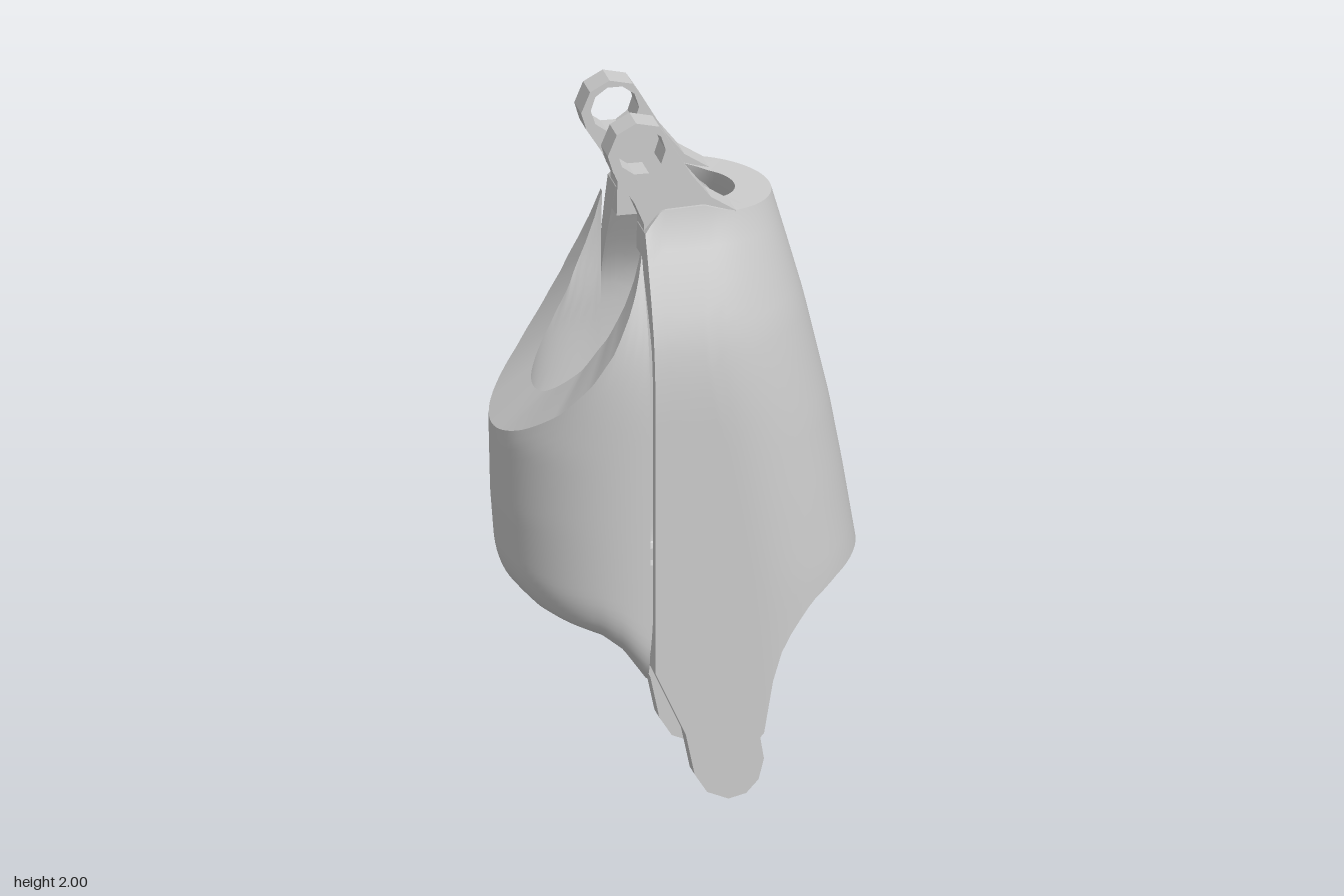
import * as THREE from 'three';

const material = new THREE.MeshStandardMaterial({ color: 0xcccccc, side: THREE.DoubleSide });

// Piecewise linear lookup through [key, value] pairs
function lookup(points, k) {
  if (k <= points[0][0]) return points[0][1];
  for (let i = 1; i < points.length; i++) {
    const [k0, v0] = points[i - 1], [k1, v1] = points[i];
    if (k <= k1) return v0 + (v1 - v0) * (k - k0) / (k1 - k0);
  }
  return points[points.length - 1][1];
}

// Grid surface from fn(u, v), both 0..1
function surface(fn, nu, nv) {
  const pos = [], index = [];
  for (let j = 0; j <= nv; j++)
    for (let i = 0; i <= nu; i++) pos.push(...fn(i / nu, j / nv));
  for (let j = 0; j < nv; j++)
    for (let i = 0; i < nu; i++) {
      const a = j * (nu + 1) + i, b = a + nu + 1;
      index.push(a, b, a + 1, a + 1, b, b + 1);
    }
  const g = new THREE.BufferGeometry();
  g.setAttribute('position', new THREE.Float32BufferAttribute(pos, 3));
  g.setIndex(index);
  g.computeVertexNormals();
  return g;
}

function add(group, name, geometry) {
  const mesh = new THREE.Mesh(geometry, material);
  mesh.name = name;
  group.add(mesh);
  return mesh;
}

// Outline in x/y extruded from z0 to z1
function plate(points, z0, z1, hole) {
  const shape = new THREE.Shape(points.map(p => new THREE.Vector2(...p)));
  if (hole) {
    const path = new THREE.Path();
    path.absarc(hole[0], hole[1], hole[2], 0, Math.PI * 2, true);
    shape.holes.push(path);
  }
  const g = new THREE.ExtrudeGeometry(shape, { depth: z1 - z0, bevelEnabled: false, curveSegments: 5 });
  return g.translate(0, 0, z0);
}

// Half width of both shells by height
const width = [[1.2, 0.355], [1.3, 0.35], [1.4, 0.337], [1.5, 0.305], [1.6, 0.265], [1.7, 0.22], [1.8, 0.205]];

// Front shell curves: foremost x and wall by height, upper and lower edge by x
const frontX = [[0.3, 0.53], [0.67, 0.505], [0.9, 0.467], [1.1, 0.43], [1.4, 0.36], [1.55, 0.318], [1.71, 0.272]];
const frontWall = [[0.19, 0.16], [0.3, 0.13], [0.42, 0.08], [0.55, 0.035], [1.35, 0.03], [1.55, 0.075], [1.7, 0.1]];
const frontTop = [[-0.13, 1.68], [-0.08, 1.74], [0.04, 1.745], [0.12, 1.72], [0.28, 1.71]];
const frontBottom = [[-0.13, 0.43], [-0.09, 0.36], [-0.01, 0.225], [0.04, 0.19], [0.09, 0.18], [0.14, 0.19],
  [0.175, 0.23], [0.195, 0.36], [0.22, 0.45], [0.26, 0.52], [0.32, 0.59], [0.4, 0.635], [0.5, 0.67]];

// Back shell curves
const backX = [[0.6, -0.485], [0.72, -0.495], [0.85, -0.505], [1.07, -0.51], [1.3, -0.47], [1.63, -0.36]];
const backWall = [[0.6, 0.06], [1.0, 0.1], [1.35, 0.1], [1.5, 0.06], [1.62, 0.02]];
const backTop = [[-0.51, 1.07], [-0.46, 1.11], [-0.38, 1.18], [-0.3, 1.275], [-0.24, 1.37], [-0.19, 1.48],
  [-0.165, 1.55], [-0.145, 1.63]];
const backBottom = [[-0.48, 0.6], [-0.44, 0.575], [-0.38, 0.555], [-0.28, 0.53], [-0.22, 0.49], [-0.145, 0.4]];

// U-shaped section: straight flanks and a round front
function frontSection(u, y, inner) {
  const w = lookup(width, y), r = w - (inner ? lookup(frontWall, y) : 0);
  const c = lookup(frontX, y) - w, side = u * 2 - 1, s = 1 - Math.abs(side);
  if (s < 0.4) return [-0.13 + (c + 0.13) * s / 0.4, r * Math.sign(side)];
  const a = (s - 0.4) / 0.6 * Math.PI / 2;
  return [c + r * Math.sin(a), r * Math.cos(a) * Math.sign(side)];
}

// Half-ellipse section
function backSection(u, y, inner) {
  const t = inner ? lookup(backWall, y) : 0, side = 1 - u * 2;
  const a = Math.pow(1 - Math.abs(side), 1.2) * Math.PI / 2;
  return [-0.145 + (lookup(backX, y) + 0.145 + t) * Math.sin(a),
    (lookup(width, y) - t) * Math.cos(a) * Math.sign(side)];
}

// Point on a shell, its height running between the two edge curves
function shellPoint(section, top, bottom, rounded) {
  return (u, v, inner) => {
    const edge = curve => {
      let y = 1;
      for (let i = 0; i < 30; i++) y = (y + lookup(curve, section(u, y, inner)[0])) / 2;
      return y;
    };
    const y0 = edge(bottom), y1 = edge(top), y = y0 + (y1 - y0) * (rounded ? Math.pow(v, 1.6) : v);
    let [x, z] = section(u, y, inner);
    if (rounded) {
      const e = 1 - Math.min((y - y0) / 0.12, 1), k = 1 - 0.15 * (1 - Math.sqrt(1 - e * e));
      x = -0.145 + (x + 0.145) * k;
      z *= k;
    }
    return [x, y, z];
  };
}

// Outer skin, inner skin and the four rims between them
function shell(name, point) {
  const group = new THREE.Group();
  group.name = name;
  const blend = (u, v, t) => {
    const a = point(u, v, false), b = point(u, v, true);
    return a.map((n, i) => n + (b[i] - n) * t);
  };
  add(group, 'outerSkin', surface((u, v) => point(u, v, false), 60, 28));
  add(group, 'innerSkin', surface((u, v) => point(1 - u, v, true), 60, 28));
  for (const e of [0, 1]) {
    add(group, e ? 'topRim' : 'bottomRim', surface((u, t) => blend(e ? u : 1 - u, e, t), 60, 1));
    add(group, 'sideRim', surface((t, v) => blend(e, v, e ? t : 1 - t), 1, 28));
  }
  return group;
}

export function createModel() {
  const model = new THREE.Group();

  model.add(shell('frontShell', shellPoint(frontSection, frontTop, frontBottom, false)));

  // Back shell with a closed underside
  const backPoint = shellPoint(backSection, backTop, backBottom, true);
  const back = shell('backShell', backPoint);
  add(back, 'underside', surface((u, q) => {
    const [x, y, z] = backPoint(u / 2, 0, false);
    return [x, y, z * (1 - 2 * q)];
  }, 30, 4));
  model.add(back);

  // Fork arms, hinge lugs and pins on both sides
  const arm = [[-0.13, 1.6], [-0.128, 1.7], [-0.155, 1.765], [-0.215, 1.86], [-0.23, 1.91], [-0.205, 1.97],
    [-0.15, 2], [-0.085, 1.985], [-0.05, 1.93], [0.005, 1.835], [0.06, 1.765], [0.13, 1.72], [0.13, 1.6]].reverse();
  const lug = [[-0.1, 0.5], [-0.125, 0.43], [-0.02, 0.2], [0.005, 0.08], [0.04, 0.025], [0.1, 0],
    [0.15, 0.012], [0.185, 0.05], [0.2, 0.11], [0.185, 0.2], [0.19, 0.5]];
  for (const side of [1, -1]) {
    const half = new THREE.Group();
    half.name = side > 0 ? 'frontFacingHinge' : 'rearFacingHinge';
    add(half, 'upperForkArm', plate(arm, 0.12, 0.205, [-0.135, 1.915, 0.068]));
    add(half, 'lowerLug', plate(lug, 0.185, 0.245));
    const nut = add(half, 'pinNut', new THREE.CylinderGeometry(0.05, 0.05, 0.04, 6).toNonIndexed());
    nut.geometry.computeVertexNormals();
    nut.rotation.x = Math.PI / 2;
    nut.position.set(0.1, 0.1, 0.165);
    const pin = add(half, 'pin', new THREE.CylinderGeometry(0.024, 0.024, 0.09, 10));
    pin.rotation.x = Math.PI / 2;
    pin.position.set(0.1, 0.1, 0.14);
    const rib = add(half, 'innerRib', new THREE.BoxGeometry(0.2, 0.16, 0.04));
    rib.position.set(0, 0.56, 0.06);
    if (side < 0) half.scale.z = -1;
    model.add(half);
  }

  // Arched bridge joining the lugs inside
  const bridge = add(model, 'bridge', plate([[-0.24, 0.41], [-0.17, 0.43], [0, 0.42], [0.17, 0.43], [0.24, 0.41],
    [0.24, 0.58], [0.15, 0.52], [0, 0.495], [-0.15, 0.52], [-0.24, 0.58]], -0.12, 0.12));
  bridge.rotation.y = Math.PI / 2;

  return model;
}
